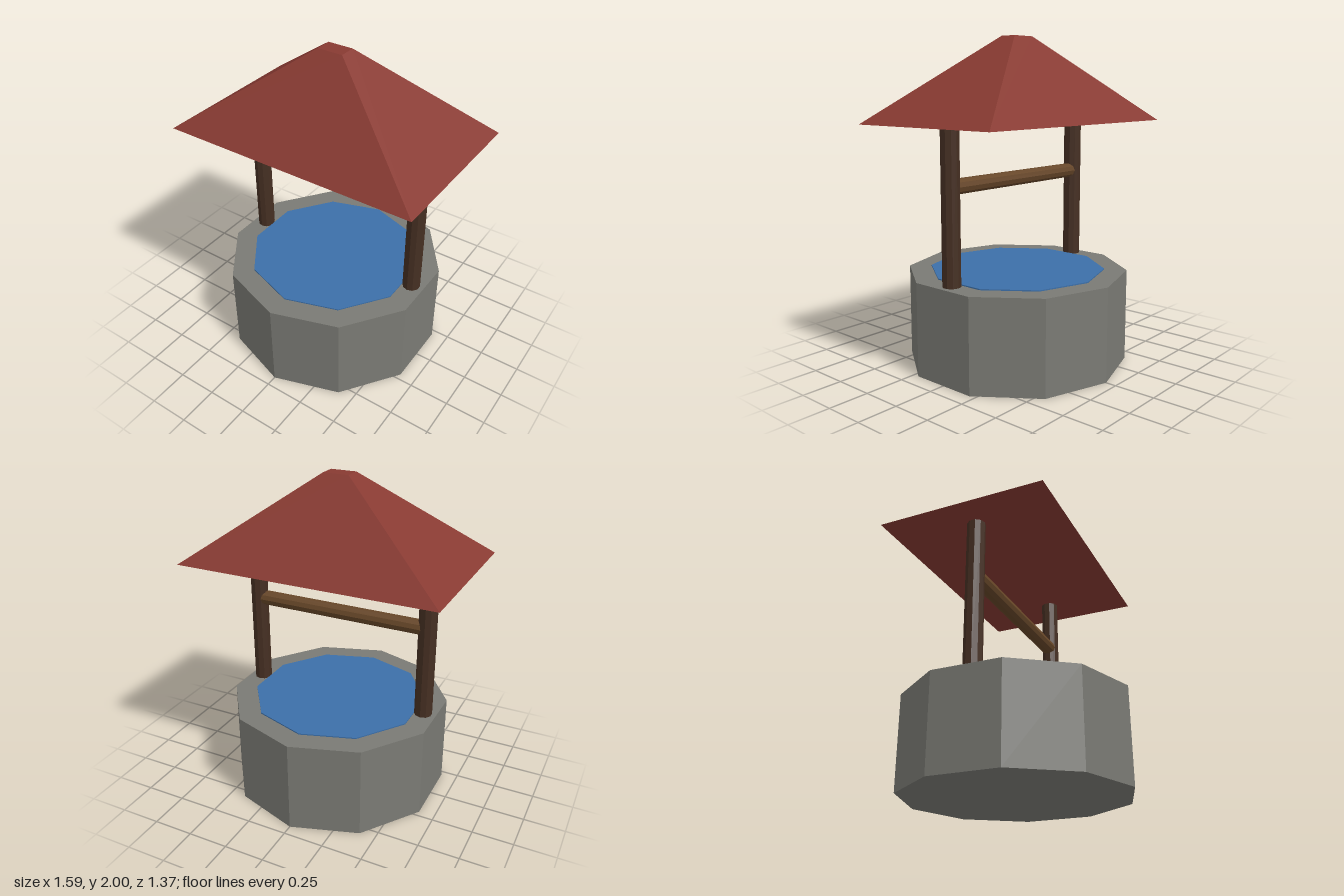
import * as THREE from 'three';

function material(name, color) {
  const m = new THREE.MeshStandardMaterial({ color, flatShading: true });
  m.name = name;
  return m;
}

export function createModel() {
  const stone = material('stone grey', 0x7a7a74);
  const water = material('water blue', 0x3c6fa8);
  const darkWood = material('dark wood', 0x452f22);
  const lightWood = material('light wood', 0x664628);
  const tile = material('roof red', 0x883a32);

  const well = new THREE.Group();
  well.name = 'well';

  // Upright prism or frustum standing between two heights
  const column = (name, mat, rTop, rBottom, y0, y1, sides, start = 0) => {
    const geo = new THREE.CylinderGeometry(rTop, rBottom, y1 - y0, sides, 1, false, start);
    const mesh = new THREE.Mesh(geo, mat);
    mesh.name = name;
    mesh.position.y = (y0 + y1) / 2;
    well.add(mesh);
    return mesh;
  };

  // Ten-sided stone base and the water surface
  column('stoneBase', stone, 0.685, 0.685, 0, 0.573, 10);
  column('water', water, 0.545, 0.545, 0.571, 0.58, 10);

  // Posts on both sides
  for (const [name, side] of [['leftPost', 1], ['rightPost', -1]]) {
    column(name, darkWood, 0.055, 0.055, 0.56, 1.49, 10).position.x = side * 0.57;
  }

  // Crossbar between the posts
  const bar = column('crossbar', lightWood, 0.046, 0.046, 0, 1.08, 10);
  bar.rotation.z = Math.PI / 2;
  bar.position.y = 1.146;

  // Hipped roof with a small flat top
  const roof = column('roof', tile, 0.1, 1, 1.487, 2, 4, Math.PI / 4);
  roof.geometry.scale(0.797 * Math.SQRT2, 1, 0.512 * Math.SQRT2);

  return well;
}
